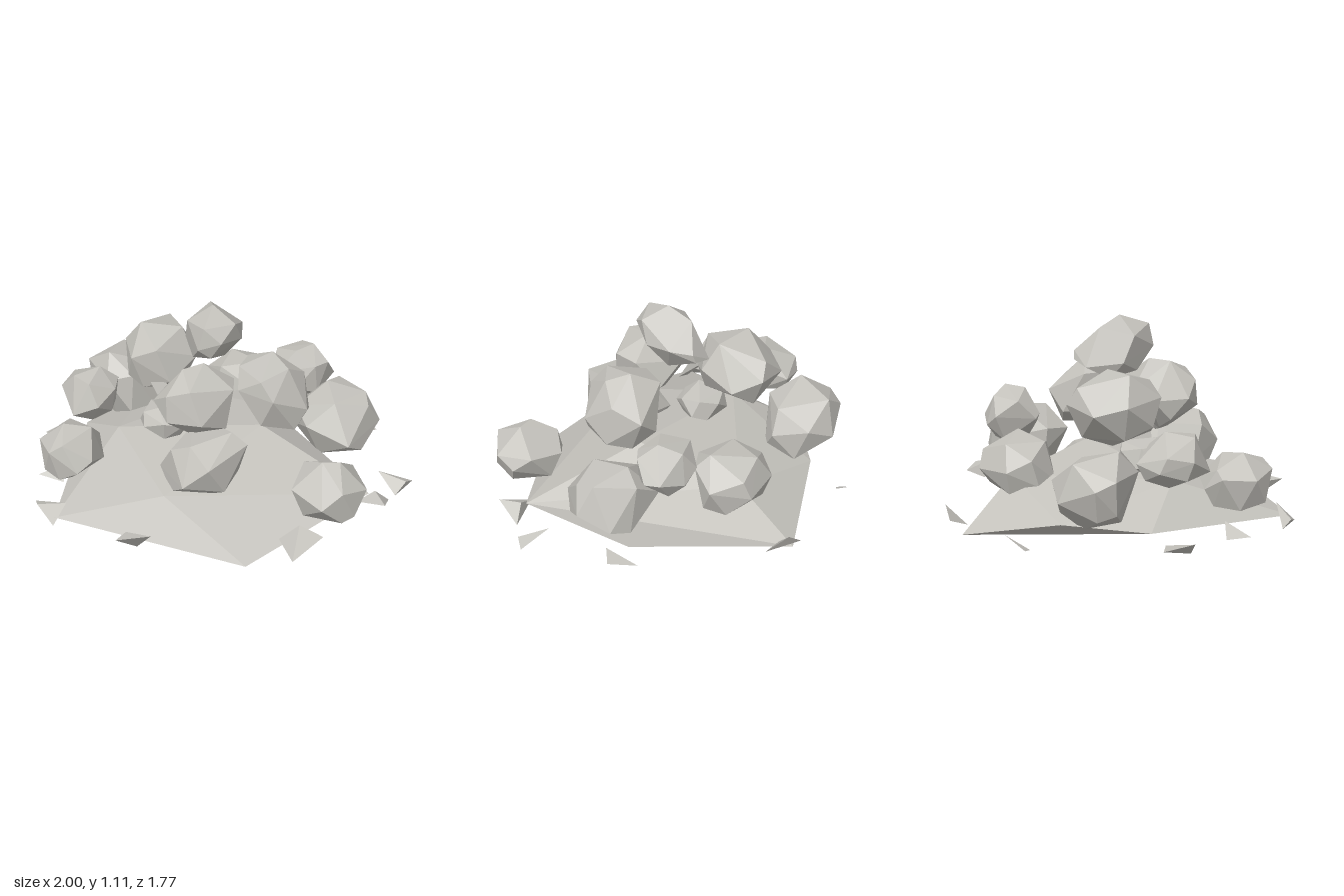
import * as THREE from 'three';
import { ConvexGeometry } from 'three/addons/geometries/ConvexGeometry.js';

const stone = new THREE.MeshStandardMaterial({ color: 0xc4c2bc });
stone.name = 'grey stone';

function seeded(seed) {
  let s = seed * 7919 + 17;
  return () => {
    s = (s * 16807) % 2147483647;
    return s / 2147483647;
  };
}

// Faceted convex stone around a few corners
function hull(name, points) {
  const mesh = new THREE.Mesh(new ConvexGeometry(points), stone);
  mesh.name = name;
  return mesh;
}

const corners = (list) => list.map((p) => new THREE.Vector3(...p));

// Jittered points on a sphere, leaning with height, fitted to the given bounds
function boulder(name, seed, [x0, x1, y0, y1, z0, z1], [leanX, leanZ] = [0, 0]) {
  const rand = seeded(seed);
  for (let i = 0; i < 5; i++) rand();
  const turn = new THREE.Euler(rand() * 6, rand() * 6, rand() * 6);
  const points = [];
  const count = 17;
  for (let i = 0; i < count; i++) {
    const h = 1 - (2 * i + 1) / count;
    const r = Math.sqrt(1 - h * h);
    const a = i * 2.39996;
    const p = new THREE.Vector3(r * Math.cos(a), h, r * Math.sin(a));
    p.x += (rand() - 0.5) * 0.5;
    p.y += (rand() - 0.5) * 0.5;
    p.z += (rand() - 0.5) * 0.5;
    p.normalize().applyEuler(turn);
    p.x += p.y * leanX;
    p.z += p.y * leanZ;
    points.push(p);
  }
  const box = new THREE.Box3().setFromPoints(points);
  const size = box.getSize(new THREE.Vector3());
  const goal = new THREE.Vector3(x1 - x0, y1 - y0, z1 - z0);
  const low = new THREE.Vector3(x0, y0, z0);
  points.forEach((p) => p.sub(box.min).divide(size).multiply(goal).add(low));
  return hull(name, points);
}

export function createModel() {
  const group = new THREE.Group();
  group.name = 'rockPile';

  // Wide, shallow slab under the pile: underside, rim, then crown
  group.add(hull('baseSlab', corners([
    [-0.2, 0, 0.2], [0.48, 0, -0.2],
    [-0.08, 0.08, -0.83], [0.24, 0.05, 0.77], [-0.75, 0.15, 0.67],
    [0.79, 0.19, 0.24], [-0.8, 0.2, -0.16], [-0.54, 0.22, -0.51],
    [0.2, 0.41, 0.03], [-0.2, 0.3, 0.6], [-0.55, 0.36, 0.1], [0, 0.33, -0.52],
  ])));

  // Boulders: x, y and z bounds, then the lean in x and z
  const boulders = [
    [[-0.2, 0.1, 0.8, 1.11, -0.17, 0.25], [0.15, 0.25]],
    [[-0.56, -0.16, 0.52, 0.89, -0.36, 0.09]],
    [[-0.3, 0.1, 0.5, 0.87, 0.09, 0.48]],
    [[0.09, 0.45, 0.48, 0.85, -0.15, 0.29], [-0.3, 0]],
    [[0.2, 0.53, 0.42, 0.7, -0.5, -0.22]],
    [[-0.87, -0.57, 0.38, 0.65, -0.18, 0.19]],
    [[-0.9, -0.58, 0.21, 0.52, 0.17, 0.53]],
    [[-0.26, 0.19, 0.24, 0.59, 0.2, 0.65], [0.25, 0.1]],
    [[0.42, 0.79, 0.2, 0.5, 0.27, 0.65]],
    [[0.35, 0.8, 0.19, 0.55, -0.38, 0.05], [0, -0.1]],
    [[-0.18, 0.23, 0.19, 0.53, -0.67, -0.27]],
    [[-0.83, -0.38, 0.18, 0.59, -0.57, -0.16], [-0.2, 0]],
    [[-0.44, -0.16, 0.32, 0.52, -0.05, 0.2]],
  ];
  boulders.forEach(([b, lean], i) => group.add(boulder('boulder' + (i + 1), i + 3, b, lean)));

  // Sharp four-cornered chips around the edge, the last caught between boulders
  const chips = [
    [[-0.59, 0.14, -0.72], [-0.52, 0.21, -0.79], [-0.53, 0.15, -0.71], [-0.56, 0.13, -0.68]],
    [[-0.07, 0.16, -0.89], [0.01, 0.22, -0.88], [0.09, 0.12, -0.8], [-0.03, 0.11, -0.78]],
    [[0.67, 0.17, -0.5], [0.78, 0.18, -0.4], [0.72, 0.2, -0.32], [0.65, 0.12, -0.4]],
    [[0.82, 0.18, 0.01], [1, 0.14, 0.01], [0.92, 0.11, 0.12], [0.97, 0.17, 0.07]],
    [[0.89, 0.13, 0.19], [0.88, 0.2, 0.35], [0.73, 0.16, 0.28], [0.82, 0.21, 0.24]],
    [[0.38, 0.12, 0.61], [0.48, 0.21, 0.6], [0.6, 0.16, 0.61], [0.47, 0.11, 0.77]],
    [[-0.38, 0.21, 0.88], [-0.22, 0.21, 0.82], [-0.3, 0.11, 0.78], [-0.35, 0.2, 0.79]],
    [[-0.89, 0.14, 0.53], [-0.7, 0.21, 0.62], [-0.75, 0.12, 0.7], [-0.86, 0.17, 0.6]],
    [[-1, 0.19, -0.04], [-0.95, 0.16, -0.18], [-0.85, 0.15, -0.11], [-0.93, 0.12, -0.02]],
    [[-0.94, 0.15, 0.31], [-0.8, 0.2, 0.25], [-0.8, 0.13, 0.33], [-0.85, 0.12, 0.23]],
    [[-0.37, 0.65, 0.1], [-0.28, 0.68, 0.14], [-0.2, 0.58, 0.16], [-0.28, 0.55, 0.18]],
  ];
  chips.forEach((c, i) => group.add(hull('chip' + (i + 1), corners(c))));

  return group;
}
